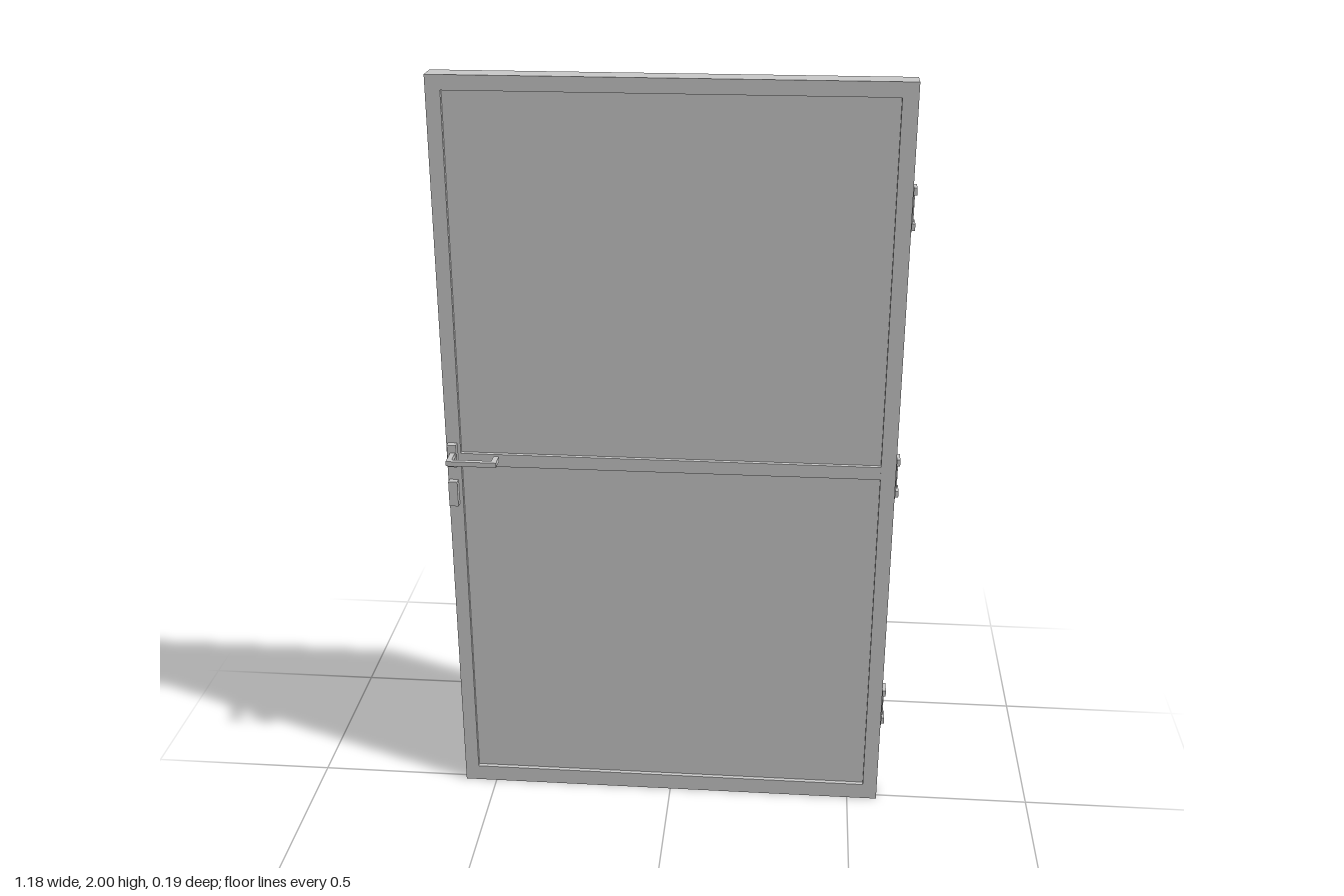
import * as THREE from 'three';

const mat = new THREE.MeshStandardMaterial({ color: 0xcccccc });

function add(parent, name, geo) {
  const m = new THREE.Mesh(geo, mat);
  m.name = name;
  parent.add(m);
  return m;
}

// Box given by its lower and upper limits on each axis
function box(parent, name, x0, x1, y0, y1, z0, z1) {
  const m = add(parent, name, new THREE.BoxGeometry(x1 - x0, y1 - y0, z1 - z0));
  m.position.set((x0 + x1) / 2, (y0 + y1) / 2, (z0 + z1) / 2);
  return m;
}

function rect(path, x0, x1, y0, y1) {
  path.moveTo(x0, y0);
  path.lineTo(x1, y0);
  path.lineTo(x1, y1);
  path.lineTo(x0, y1);
  path.closePath();
  return path;
}

// Round button whose axis runs along z
function button(parent, name, x, y, r, z0, z1) {
  const m = add(parent, name, new THREE.CylinderGeometry(r, r, z1 - z0, 24));
  m.rotation.x = Math.PI / 2;
  m.position.set(x, y, (z0 + z1) / 2);
}

export function createModel() {
  const door = new THREE.Group();
  door.name = 'door';
  const L = -0.587, R = 0.582, back = -0.045, front = 0.018;
  const inL = -0.55, inR = 0.543, inB = 0.045, inT = 1.963;

  // Outer frame with one opening
  const frame = rect(new THREE.Shape(), L, R, 0, 2);
  frame.holes.push(rect(new THREE.Path(), inL, inR, inB, inT));
  const frameGeo = new THREE.ExtrudeGeometry(frame, { depth: front - back, bevelEnabled: false });
  add(door, 'frame', frameGeo).position.z = back;

  // Recessed sheet and the rails that divide it
  box(door, 'panel', inL, inR, inB, inT, back + 0.012, front - 0.012);
  box(door, 'frontRail', inL, inR, 0.985, 1.02, 0, front - 0.001);
  for (const y of [0.667, 1.33]) {
    box(door, 'backRail', inL, inR, y - 0.018, y + 0.018, back + 0.001, -0.02);
  }

  // Three hinges on the left edge: leaf, two lugs and a pin
  for (const y of [0.295, 0.985, 1.695]) {
    const hinge = new THREE.Group();
    hinge.name = 'hinge';
    hinge.position.set(R, y, -0.013);
    box(hinge, 'hingeLeaf', 0, 0.002, -0.055, 0.055, -0.024, 0.024);
    for (const s of [-1, 1]) {
      box(hinge, 'hingeLug', 0, 0.01, s * 0.044 - 0.009, s * 0.044 + 0.009, -0.02, 0.02);
    }
    const pin = add(hinge, 'hingePin', new THREE.CylinderGeometry(0.003, 0.003, 0.09, 12));
    pin.position.x = 0.003;
    door.add(hinge);
  }

  // Front plates and the bent pull handle
  box(door, 'handlePlate', -0.582, -0.558, 0.988, 1.05, front, 0.036);
  box(door, 'keyPlate', -0.584, -0.56, 0.875, 0.945, front, 0.036);
  const bar = new THREE.Shape();
  [[-0.574, 0.034], [-0.574, 0.093], [-0.443, 0.093], [-0.443, 0.051],
    [-0.457, 0.051], [-0.457, 0.08], [-0.561, 0.08], [-0.561, 0.034]]
    .forEach(([x, z], i) => (i ? bar.lineTo(x, z) : bar.moveTo(x, z)));
  const barGeo = new THREE.ExtrudeGeometry(bar, { depth: 0.013, bevelEnabled: false });
  barGeo.rotateX(Math.PI / 2);
  add(door, 'handle', barGeo).position.y = 1.029;

  // Lock on the back: plate, bevelled case, bolt and buttons
  const lock = new THREE.Group();
  lock.name = 'lock';
  box(lock, 'lockPlate', -0.58, -0.423, 0.838, 0.988, back - 0.003, back);
  const inset = 0.008;
  const caseShape = rect(new THREE.Shape(), -0.577 + inset, -0.431 - inset, 0.858 + inset, 0.966 - inset);
  const caseGeo = new THREE.ExtrudeGeometry(caseShape, {
    depth: 0.021, bevelThickness: 0.008, bevelSize: inset, bevelSegments: 1,
  });
  add(lock, 'lockCase', caseGeo).position.z = -0.07;
  box(lock, 'bolt', -0.592, -0.575, 0.915, 0.95, -0.056, -0.046);
  button(lock, 'turnKnob', -0.5, 0.922, 0.018, -0.093, -0.076);
  button(lock, 'smallButton', -0.459, 0.886, 0.011, -0.087, -0.076);

  // Small curved thumb lever at the side of the case
  const leverPath = new THREE.CatmullRomCurve3([
    new THREE.Vector3(-0.436, 0.943, -0.06),
    new THREE.Vector3(-0.42, 0.943, -0.06),
    new THREE.Vector3(-0.413, 0.943, -0.068),
    new THREE.Vector3(-0.411, 0.943, -0.078),
  ]);
  add(lock, 'lever', new THREE.TubeGeometry(leverPath, 12, 0.005, 10));
  const tip = add(lock, 'leverTip', new THREE.SphereGeometry(0.005, 12, 8));
  tip.position.set(-0.411, 0.943, -0.078);
  door.add(lock);

  return door;
}
